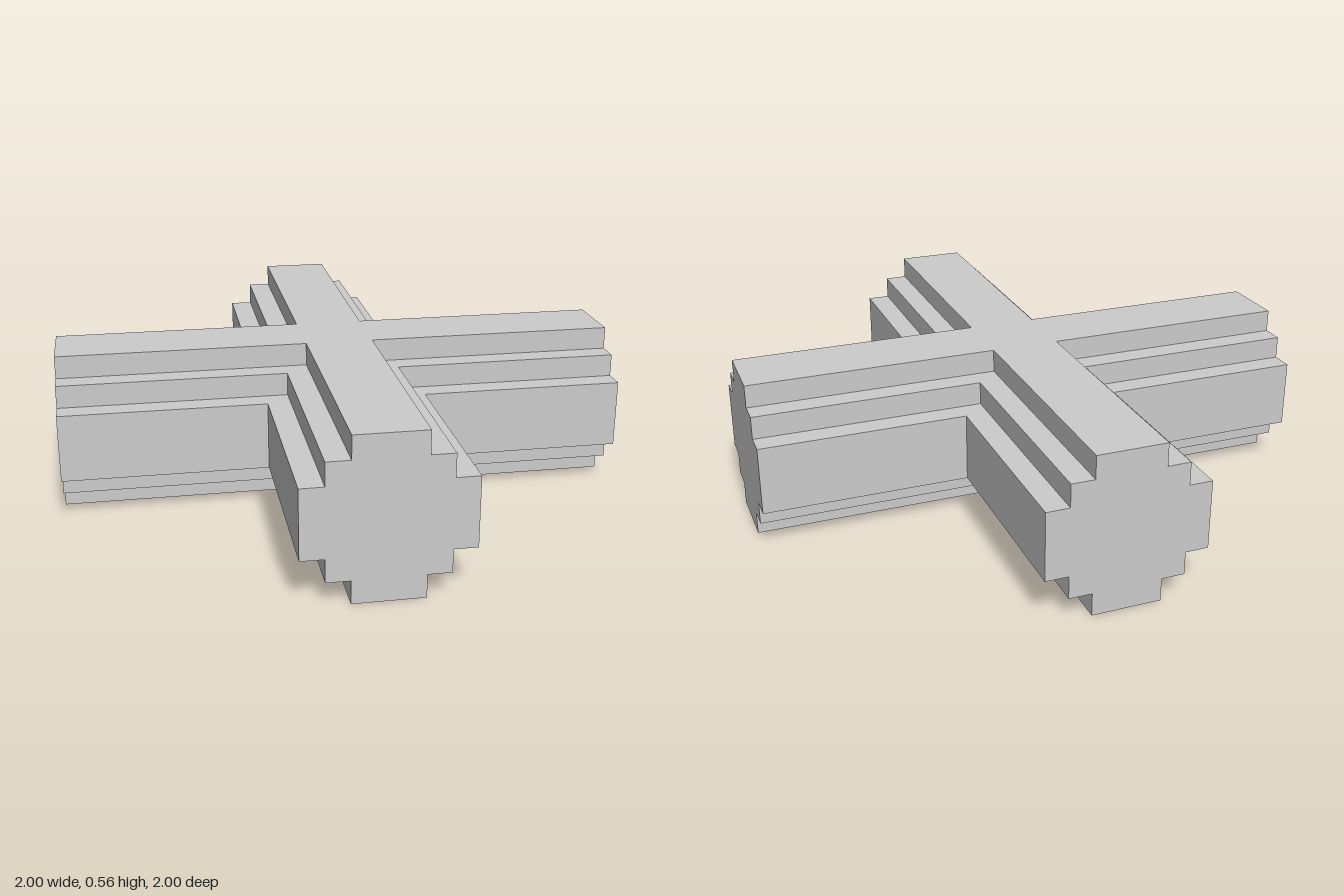
import * as THREE from 'three';

// Stepped profile of the beams: [half width, height], from bottom to top
const PROFILE = [
  [0.12, 0], [0.12, 0.08], [0.2, 0.08], [0.2, 0.16], [0.28, 0.16],
  [0.28, 0.4], [0.2, 0.4], [0.2, 0.48], [0.12, 0.48], [0.12, 0.56],
];

// Plus-shaped outline, counter-clockwise seen from above (second axis is -z)
function crossOutline(w) {
  const points = [];
  let quarter = [[1, -w], [1, w], [w, w]];
  for (let q = 0; q < 4; q++) {
    points.push(...quarter.map(([x, v]) => new THREE.Vector2(x, v)));
    quarter = quarter.map(([x, v]) => [-v, x]);
  }
  return points;
}

// Joins the outlines at each profile point into one closed surface
function steppedCrossGeometry() {
  const loops = PROFILE.map(([w]) => crossOutline(w));
  const n = loops[0].length;
  const positions = [];
  const index = [];
  loops.forEach((loop, k) => loop.forEach((p) => positions.push(p.x, PROFILE[k][1], -p.y)));

  // walls and ledges (ledges have no area at the beam ends)
  for (let k = 0; k < loops.length - 1; k++) {
    const isLedge = PROFILE[k][1] === PROFILE[k + 1][1];
    for (let i = 0; i < n; i++) {
      if (isLedge && i % 3 === 0) continue;
      const a = k * n + i;
      const b = k * n + (i + 1) % n;
      index.push(a, b, b + n, a, b + n, a + n);
    }
  }

  // bottom and top caps
  const top = (loops.length - 1) * n;
  for (const [a, b, c] of THREE.ShapeUtils.triangulateShape(loops[0], [])) {
    index.push(a, c, b, top + a, top + b, top + c);
  }

  const indexed = new THREE.BufferGeometry();
  indexed.setAttribute('position', new THREE.Float32BufferAttribute(positions, 3));
  indexed.setIndex(index);
  const geometry = indexed.toNonIndexed();
  geometry.computeVertexNormals();
  return geometry;
}

export function createModel() {
  const model = new THREE.Group();
  model.name = 'crossJunction';
  const material = new THREE.MeshStandardMaterial({ color: 0xcccccc, flatShading: true });
  const beams = new THREE.Mesh(steppedCrossGeometry(), material);
  beams.name = 'crossedBeams';
  model.add(beams);
  return model;
}
